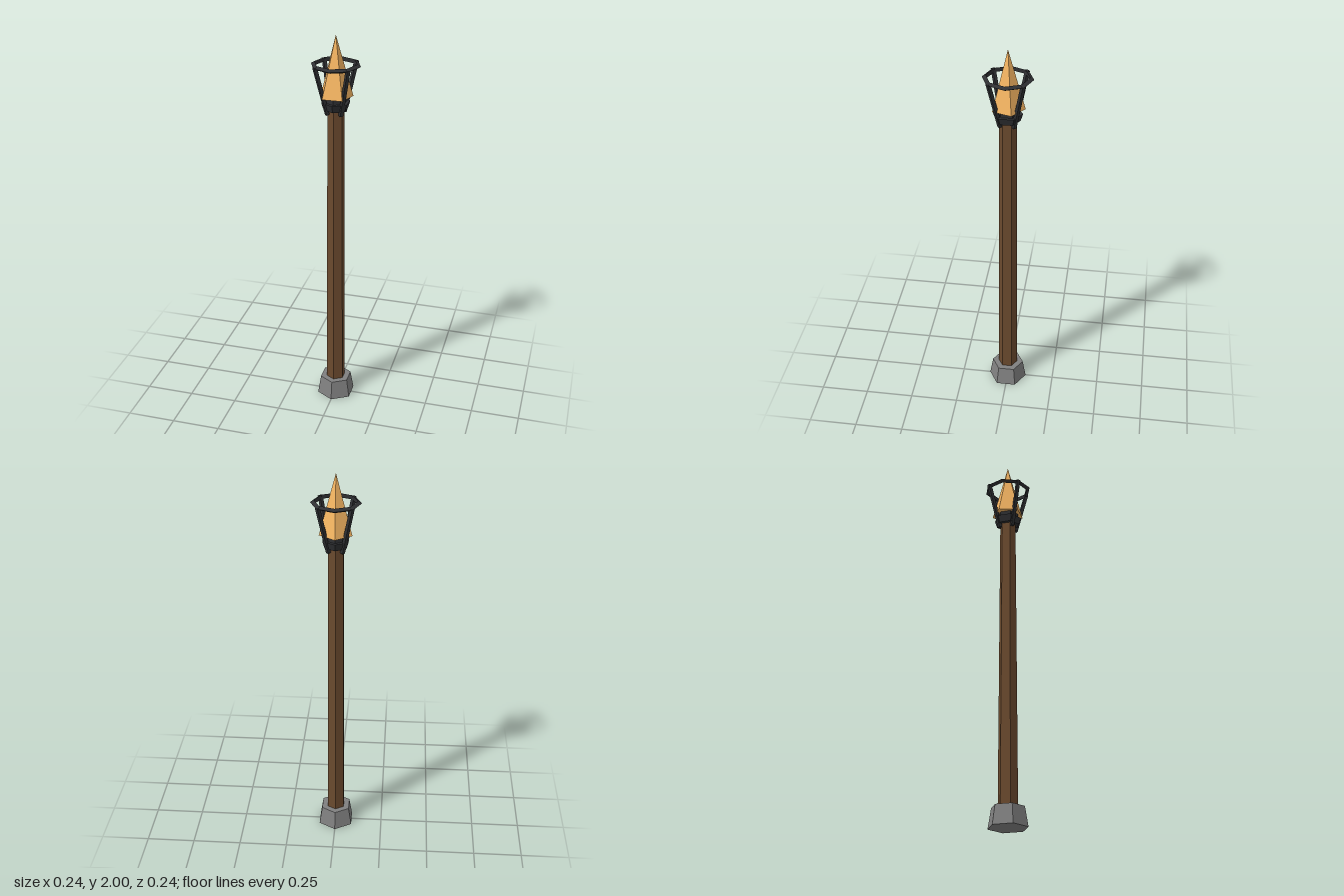
import * as THREE from 'three';

export function createModel() {
  const group = new THREE.Group();
  const mat = (color) => new THREE.MeshStandardMaterial({ color, flatShading: true });
  const stone = mat(0x808080), wood = mat(0x6b4a2e), iron = mat(0x2e2f32), fire = mat(0xf5b562);

  const add = (name, geometry, material) => {
    const mesh = new THREE.Mesh(geometry, material);
    mesh.name = name;
    group.add(mesh);
    return mesh;
  };
  // Tapered prism standing between two heights
  const prism = (name, rTop, rBottom, y0, y1, sides, material) => {
    const mesh = add(name, new THREE.CylinderGeometry(rTop, rBottom, y1 - y0, sides), material);
    mesh.position.y = (y0 + y1) / 2;
    return mesh;
  };

  // Stone foot and wooden post
  prism('base', 0.083, 0.1, 0, 0.1, 6, stone);
  prism('post', 0.042, 0.05, 0.1, 1.65, 6, wood);

  // Iron cup holding the flame
  prism('collar', 0.072, 0.06, 1.635, 1.672, 6, iron);
  prism('cup', 0.055, 0.055, 1.67, 1.702, 6, iron);

  // Five-sided flame, one corner to the back
  prism('flame', 0, 0.084, 1.7, 2, 5, fire).rotation.y = Math.PI;

  // Eight-sided guard ring
  const ring = add('guardRing', new THREE.TorusGeometry(0.11, 0.012, 3, 8), iron);
  ring.rotation.x = Math.PI / 2;
  ring.position.y = 1.855;

  // Four slanted struts from the collar up to the ring corners
  const up = new THREE.Vector3(0, 1, 0);
  for (let i = 0; i < 4; i++) {
    const a = Math.PI / 4 + (i * Math.PI) / 2;
    const at = (r, y) => new THREE.Vector3(Math.sin(a) * r, y, Math.cos(a) * r);
    const low = at(0.047, 1.615), high = at(0.114, 1.86);
    const pivot = new THREE.Group();
    pivot.name = 'strut';
    pivot.position.copy(low).lerp(high, 0.5);
    const dir = high.clone().sub(low);
    pivot.quaternion.setFromUnitVectors(up, dir.clone().normalize());
    const bar = new THREE.Mesh(new THREE.BoxGeometry(0.017, dir.length(), 0.017), iron);
    bar.name = 'strutBar';
    bar.rotation.y = a;
    pivot.add(bar);
    group.add(pivot);
  }
  return group;
}
